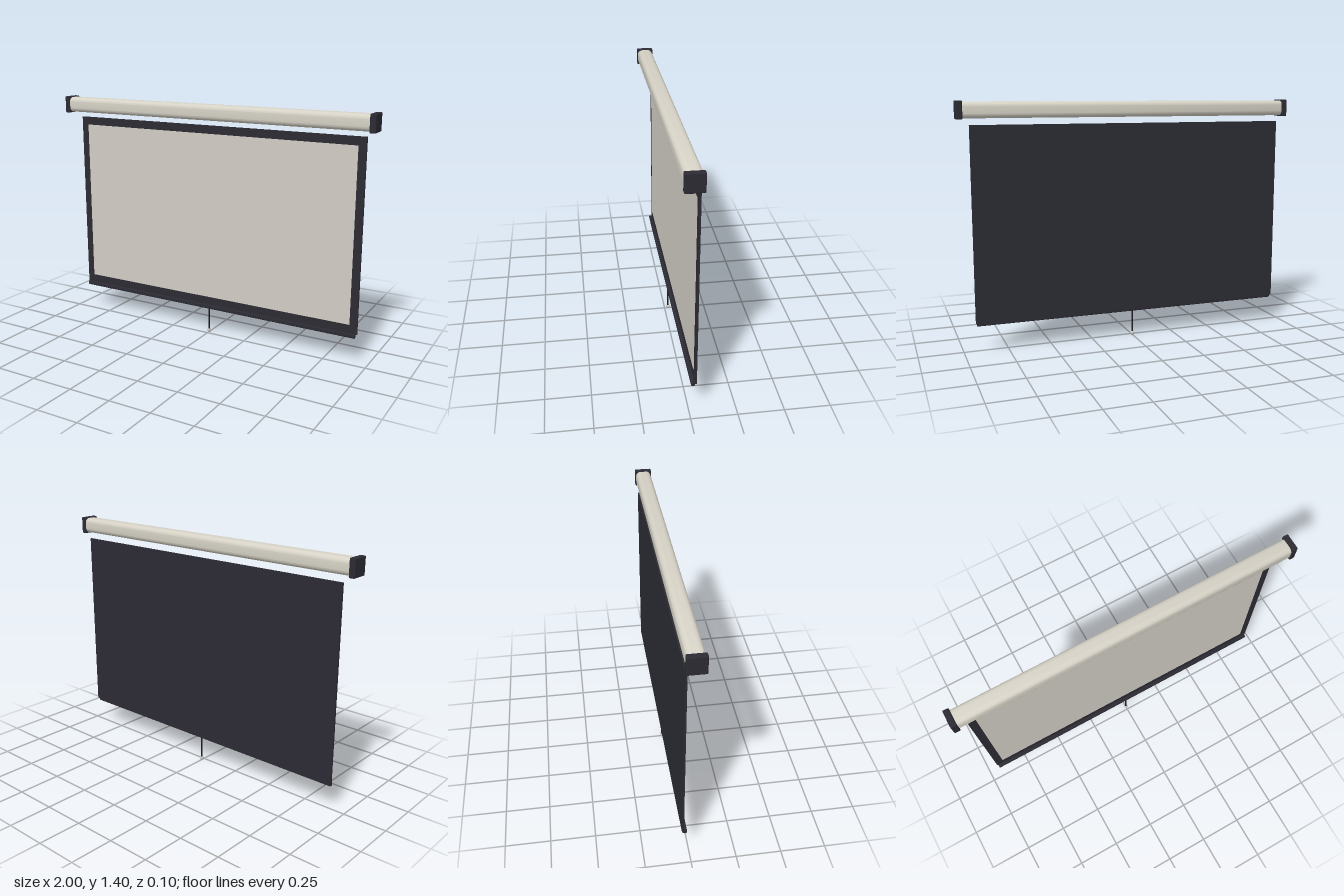
import * as THREE from 'three';
import { toCreasedNormals } from 'three/addons/utils/BufferGeometryUtils.js';
import { RoundedBoxGeometry } from 'three/addons/geometries/RoundedBoxGeometry.js';

const material = (name, color) => {
  const m = new THREE.MeshStandardMaterial({ color });
  m.name = name;
  return m;
};

// Rounded rectangle centred on the origin
function roundedRect(w, h, r) {
  const x = w / 2, y = h / 2, s = new THREE.Shape();
  s.moveTo(-x + r, -y);
  s.lineTo(x - r, -y);
  s.absarc(x - r, -y + r, r, -Math.PI / 2, 0);
  s.lineTo(x, y - r);
  s.absarc(x - r, y - r, r, 0, Math.PI / 2);
  s.lineTo(-x + r, y);
  s.absarc(-x + r, y - r, r, Math.PI / 2, Math.PI);
  s.lineTo(-x, -y + r);
  s.absarc(-x + r, -y + r, r, Math.PI, Math.PI * 1.5);
  return s;
}

// Bar along x with a rounded cross-section and softened ends
function barGeometry(length, depth, height, radius, bevel) {
  const shape = roundedRect(depth - 2 * bevel, height - 2 * bevel, radius - bevel);
  const g = new THREE.ExtrudeGeometry(shape, {
    depth: length - 2 * bevel, curveSegments: 8,
    bevelEnabled: true, bevelSize: bevel, bevelThickness: bevel, bevelSegments: 3,
  });
  g.translate(0, 0, -(length - 2 * bevel) / 2);
  g.rotateY(Math.PI / 2);
  return toCreasedNormals(g, 0.7);
}

export function createModel() {
  const group = new THREE.Group();
  const ivory = material('ivory housing', 0xd6d2c6);
  const fabric = material('screen fabric', 0xd2cdc5);
  const dark = material('charcoal', 0x2c2b34);
  const black = material('black cord', 0x1b1b20);
  const silver = material('light grey knob', 0xc4c4c4);

  const add = (name, geometry, mat, x, y, z) => {
    const mesh = new THREE.Mesh(geometry, mat);
    mesh.name = name;
    mesh.position.set(x, y, z);
    group.add(mesh);
    return mesh;
  };

  // Roller housing and its end caps
  add('housing', barGeometry(1.94, 0.092, 0.09, 0.028, 0.006), ivory, 0, 1.35, 0);
  for (const side of [1, -1]) {
    add(side > 0 ? 'leftEndCap' : 'rightEndCap',
      new RoundedBoxGeometry(0.034, 0.1, 0.1, 3, 0.006), dark, side * 0.983, 1.35, 0);
  }

  // Dark backing sheet, whose edge shows as a border, with the viewing surface on it
  add('screenBacking', new THREE.BoxGeometry(1.866, 1.1, 0.01), dark, 0, 0.72, -0.036);
  add('viewingSurface', new THREE.BoxGeometry(1.776, 1.0, 0.002), fabric, 0, 0.722, -0.031);

  // Weight bar along the bottom edge
  add('weightBar', barGeometry(1.852, 0.022, 0.024, 0.008, 0.003), dark, 0, 0.163, -0.023);

  // Pull cord with a small knob
  add('pullCord', new THREE.CylinderGeometry(0.005, 0.005, 0.138, 12), black, 0, 0.087, -0.02);
  add('pullKnob', new THREE.SphereGeometry(0.012, 20, 14), silver, 0, 0.012, -0.02);

  return group;
}
